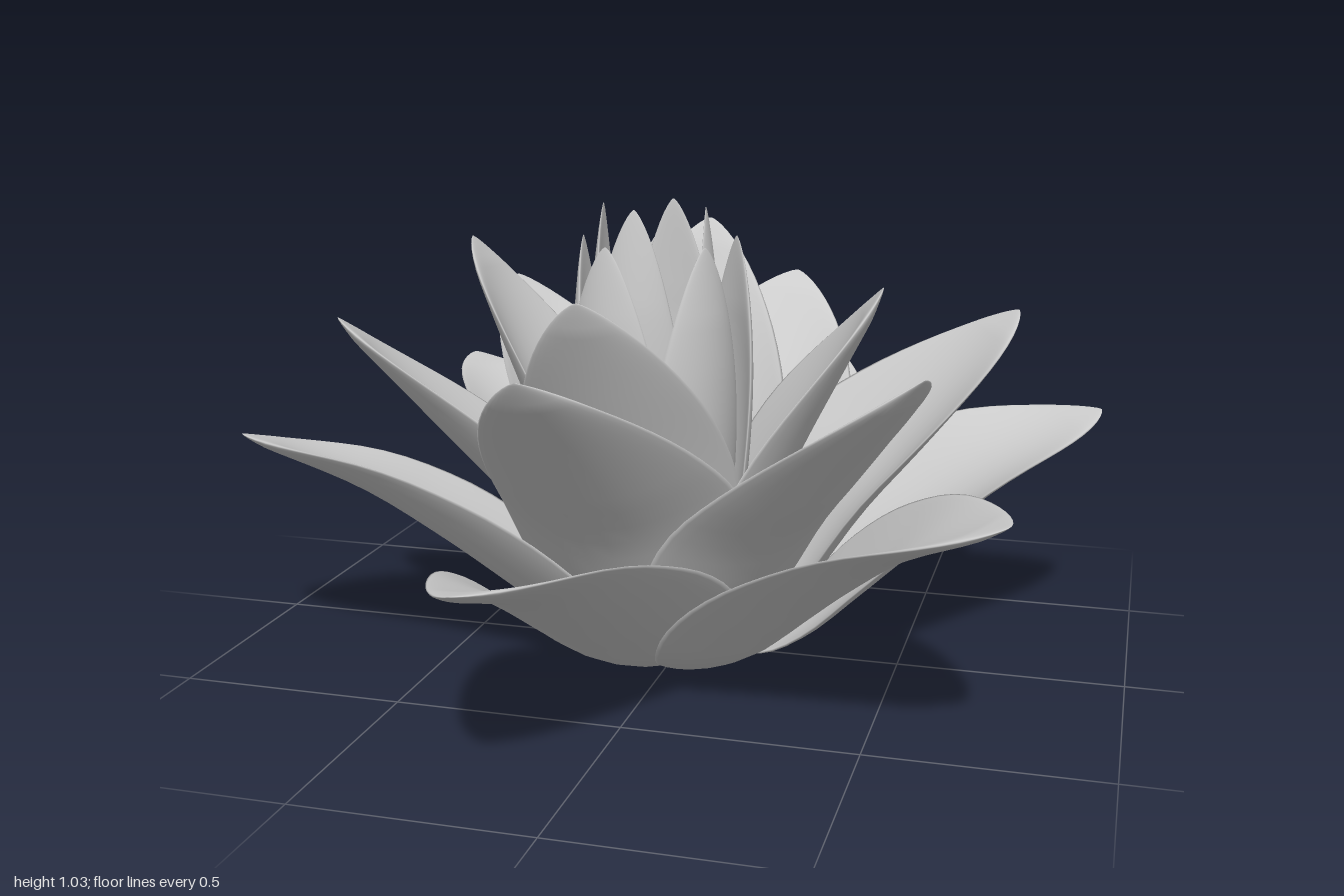
import * as THREE from 'three';
import { ParametricGeometry } from 'three/addons/geometries/ParametricGeometry.js';

const material = new THREE.MeshStandardMaterial({ color: 0xcccccc, roughness: 0.7 });
const THICKNESS = 0.011;

// Petal outline: rounded base, widest below the middle, pointed tip (peak value 1).
const outline = (s) => Math.pow(s, 0.41) * Math.pow(1 - s, 0.71) / 0.48;

// Cupped petal: a thin lens section swept along a (radius, height) profile in the yz plane.
// The section is rolled so that one edge tucks under the neighbouring petal.
function petalGeometry(profile, { halfWidth, cup, roll }, tilt, scale) {
  const pivot = new THREE.Vector2(...profile[0]);
  const angle = THREE.MathUtils.degToRad(tilt);
  const curve = new THREE.SplineCurve(profile.map(([r, y]) =>
    new THREE.Vector2(r, y).sub(pivot).multiplyScalar(scale).add(pivot).rotateAround(pivot, angle)));
  return new ParametricGeometry((u, v, target) => {
    const s = (1 - Math.cos(Math.PI * (0.015 + 0.97 * v))) / 2;
    const p = curve.getPointAt(s);
    const t = curve.getTangentAt(s);
    const w = halfWidth * outline(s);
    const a = u * Math.PI * 2;
    const across = w * Math.cos(a);
    const up = cup * across * across + THICKNESS * Math.min(1, w / 0.08) * Math.sin(a);
    const x = across * Math.cos(roll) - up * Math.sin(roll);
    const lift = across * Math.sin(roll) + up * Math.cos(roll);
    target.set(x, p.y + t.x * lift, p.x - t.y * lift);
  }, 28, 28);
}

// Ring of petals; directions are degrees from the front, tilts and scales vary single petals.
function petalRing(name, [x, z], profile, form, directions, tilts = [], scales = []) {
  const ring = new THREE.Group();
  ring.name = name + 'Ring';
  ring.position.set(x, 0, z);
  directions.forEach((direction, i) => {
    const petal = new THREE.Mesh(petalGeometry(profile, form, tilts[i] ?? 0, scales[i] ?? 1), material);
    petal.name = name;
    petal.rotation.y = THREE.MathUtils.degToRad(direction);
    ring.add(petal);
  });
  return ring;
}

// Evenly spaced directions for the bud.
const evenly = (count, start) => Array.from({ length: count }, (_, i) => start + (i * 360) / count);

export function createModel() {
  const flower = new THREE.Group();
  flower.name = 'flower';

  // Two spreading rings of six
  const broad = { halfWidth: 0.275, cup: 1.5, roll: 0.16 };
  flower.add(petalRing('outerPetal', [0, 0],
    [[0.09, 0.012], [0.17, 0.017], [0.27, 0.065], [0.38, 0.15], [0.56, 0.29], [0.74, 0.41], [0.985, 0.52]],
    broad, [-9, 52.5, 113.5, 172, -130, -69.6], [-5], [0.985, 0.995, 1.005, 1.025, 1.01]));
  flower.add(petalRing('middlePetal', [0, 0],
    [[0.09, 0.03], [0.17, 0.07], [0.27, 0.19], [0.38, 0.34], [0.49, 0.46], [0.62, 0.6], [0.775, 0.765]],
    broad, [-9.5, 51.3, 113, 172.5, -131, -75], [1], [0.985, 0.99]));

  // Steeper ring of four
  flower.add(petalRing('innerPetal', [-0.04, 0.03],
    [[0.09, 0.04], [0.15, 0.13], [0.22, 0.31], [0.3, 0.52], [0.38, 0.7], [0.485, 0.925]],
    { halfWidth: 0.24, cup: 1.9, roll: 0.14 }, [-3, 92, -178, -99], [-3, -2], [0.98, 0.935, 1.01]));

  // Upright bud
  flower.add(petalRing('outerBudPetal', [-0.05, 0.03],
    [[0.1, 0.05], [0.135, 0.15], [0.175, 0.4], [0.19, 0.65], [0.18, 0.945]],
    { halfWidth: 0.145, cup: 2.4, roll: 0.16 }, evenly(5, -95)));
  flower.add(petalRing('innerBudPetal', [-0.06, 0.03],
    [[0.095, 0.06], [0.11, 0.2], [0.135, 0.5], [0.14, 0.75], [0.12, 1.02]],
    { halfWidth: 0.125, cup: 3, roll: 0.16 }, evenly(4, -5)));

  return flower;
}
